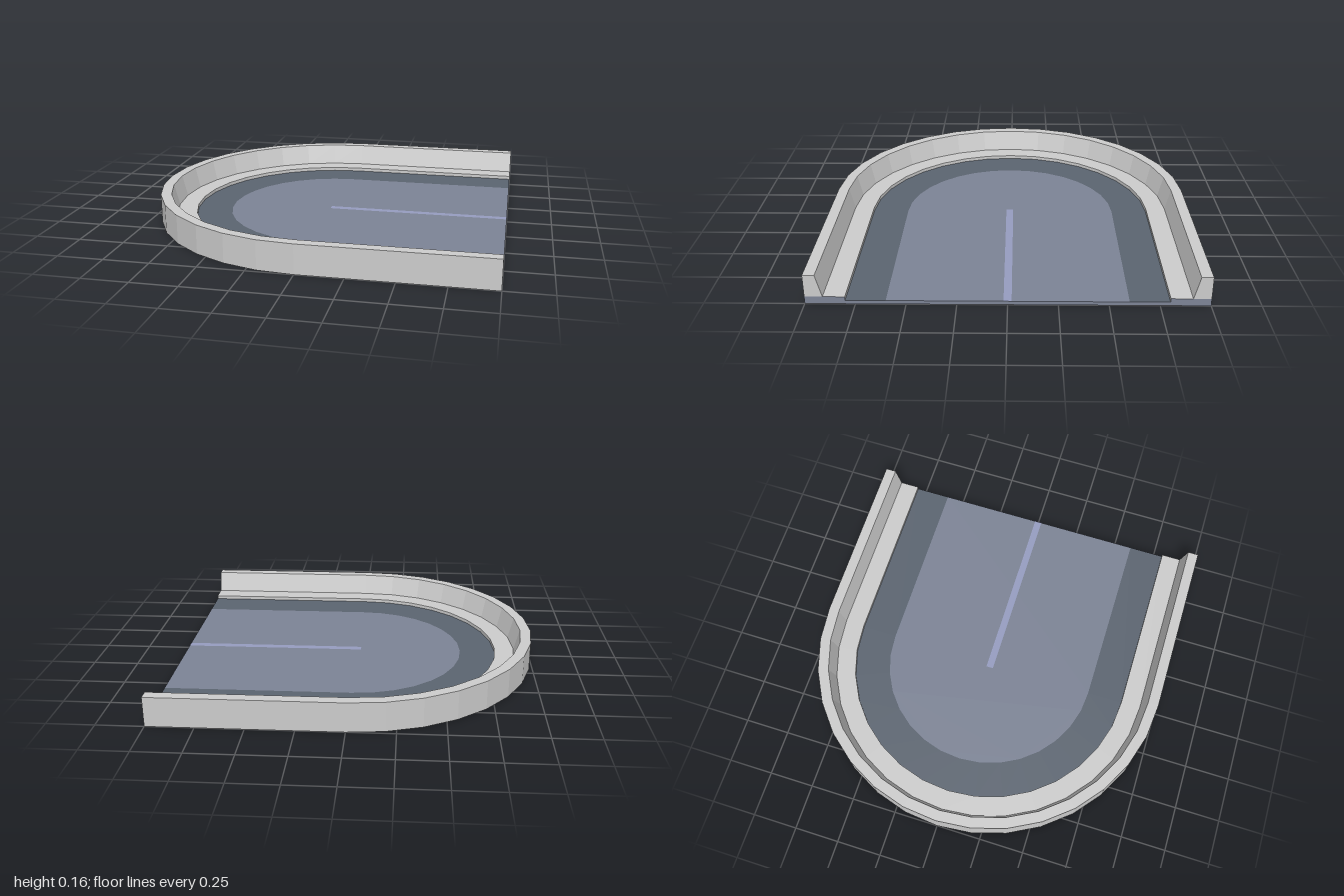
import * as THREE from 'three';

const ARC_SEGMENTS = 16;

// U-shaped path at a given offset: straight, half circle round -x, straight
function uPath(r) {
  const pts = [[1, -r]];
  for (let i = 0; i <= ARC_SEGMENTS; i++) {
    const a = (i / ARC_SEGMENTS) * Math.PI;
    pts.push([-Math.sin(a) * r, -Math.cos(a) * r]);
  }
  pts.push([1, r]);
  return pts;
}

// Sweep a profile of [radius, height] points along the U path
function sweep(profile) {
  const rows = profile.map(([r, y]) => uPath(r).map(([x, z]) => [x, y, z]));
  const pos = [];
  for (let j = 0; j < rows.length - 1; j++) {
    for (let i = 0; i < rows[j].length - 1; i++) {
      const a = rows[j][i], b = rows[j][i + 1];
      const c = rows[j + 1][i + 1], d = rows[j + 1][i];
      pos.push(...a, ...b, ...c, ...a, ...c, ...d);
    }
  }
  const geo = new THREE.BufferGeometry();
  geo.setAttribute('position', new THREE.Float32BufferAttribute(pos, 3));
  geo.computeVertexNormals();
  return geo;
}

function flatShape(points) {
  return new THREE.ShapeGeometry(new THREE.Shape(points.map(([x, y]) => new THREE.Vector2(x, y))));
}

export function createModel() {
  const group = new THREE.Group();
  const material = (color) => new THREE.MeshStandardMaterial({ color, flatShading: true });
  const grey = material(0xcccccc);
  const road = material(0x7c8395);
  const shoulder = material(0x5b6470);
  const paint = material(0x959cbf);

  const add = (name, geo, mat) => {
    const mesh = new THREE.Mesh(geo, mat);
    mesh.name = name;
    group.add(mesh);
    return mesh;
  };

  // Raised outer wall, sloped inside, with a low kerb at its foot
  add('wallAndKerb', sweep([[1, 0], [1, 0.16], [0.94, 0.16], [0.91, 0.04], [0.8, 0.04], [0.8, 0.02]]), grey);

  // Dark band along the kerb
  add('roadShoulder', sweep([[0.8, 0.02], [0.6, 0.02]]), shoulder);

  // Road surface and underside
  add('roadSurface', flatShape(uPath(0.6)).rotateX(-Math.PI / 2).translate(0, 0.02, 0), road);
  add('underside', flatShape(uPath(1)).rotateX(Math.PI / 2), grey);

  // Painted centre line
  add('centreLine', new THREE.PlaneGeometry(1.02, 0.04).rotateX(-Math.PI / 2).translate(0.49, 0.0215, 0), paint);

  // Open end: wall caps on both sides and the cut edge of the base
  for (const [name, s] of [['wallEndFront', -1], ['wallEndBack', 1]]) {
    const cap = flatShape([[s, 0.04], [s, 0.16], [s * 0.94, 0.16], [s * 0.91, 0.04]]);
    add(name, cap.rotateY(Math.PI / 2).translate(1, 0, 0), grey);
  }
  const edge = flatShape([[-1, 0], [1, 0], [1, 0.04], [0.8, 0.04], [0.8, 0.02], [-0.8, 0.02], [-0.8, 0.04], [-1, 0.04]]);
  add('baseEnd', edge.rotateY(Math.PI / 2).translate(1, 0, 0), road);

  return group;
}
